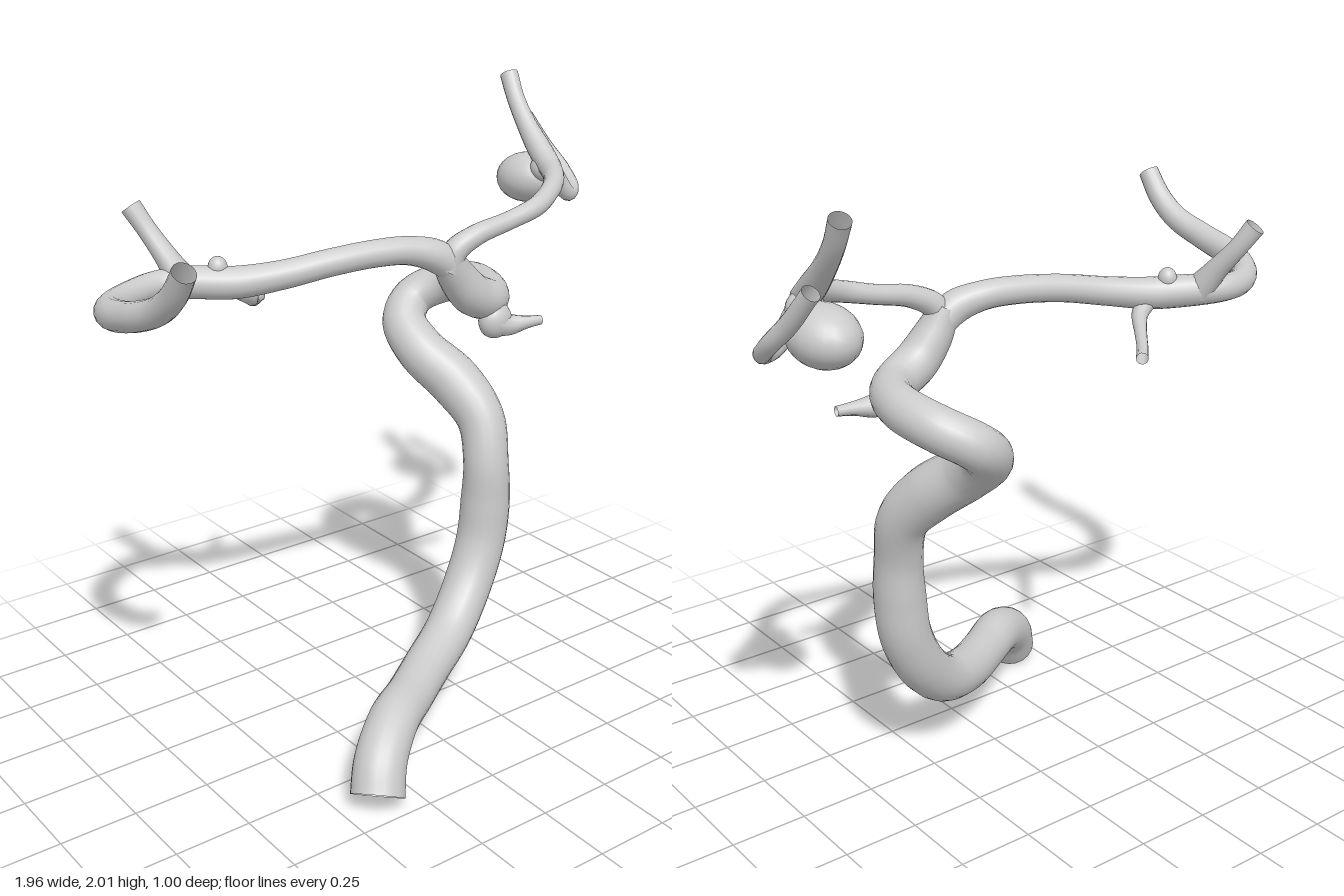
import * as THREE from 'three';

const material = new THREE.MeshStandardMaterial({ color: 0xcccccc, side: THREE.DoubleSide });

// Open tube through points [x, y, z, radius], the radius varying smoothly along the path
function vessel(name, points, segments, sides = 16) {
  const path = new THREE.CatmullRomCurve3(points.map(([x, y, z]) => new THREE.Vector3(x, y, z)));
  const radii = new THREE.SplineCurve(points.map((p, i) => new THREE.Vector2(i, p[3])));
  path.arcLengthDivisions = 400;
  const geometry = new THREE.TubeGeometry(path, segments, 1, sides);
  const pos = geometry.attributes.position;
  const normal = geometry.attributes.normal;
  for (let ring = 0; ring <= segments; ring++) {
    const u = ring / segments;
    const centre = path.getPointAt(u);
    const r = radii.getPoint(path.getUtoTmapping(u)).y;
    for (let j = 0; j <= sides; j++) {
      const k = ring * (sides + 1) + j;
      const v = new THREE.Vector3().fromBufferAttribute(normal, k).multiplyScalar(r).add(centre);
      pos.setXYZ(k, v.x, v.y, v.z);
    }
  }
  const mesh = new THREE.Mesh(geometry, material);
  mesh.name = name;
  return mesh;
}

// Ellipsoidal swelling
function swelling(name, centre, radii, tilt = 0) {
  const mesh = new THREE.Mesh(new THREE.SphereGeometry(1, 20, 14), material);
  mesh.name = name;
  mesh.position.set(...centre);
  mesh.scale.set(...radii);
  mesh.rotation.x = tilt;
  return mesh;
}

export function createModel() {
  const group = new THREE.Group();
  group.name = 'arteryTree';

  // Thick trunk: rises, loops backwards, then comes forward to the fork
  group.add(vessel('trunk', [
    [-0.4, 0.045, 0.43, 0.085], [-0.355, 0.13, 0.385, 0.083], [-0.25, 0.195, 0.31, 0.08],
    [-0.12, 0.2, 0.225, 0.077], [0.02, 0.215, 0.135, 0.078], [0.17, 0.265, 0.06, 0.08],
    [0.29, 0.38, 0.01, 0.082], [0.36, 0.52, -0.01, 0.083], [0.38, 0.66, -0.013, 0.083],
    [0.385, 0.8, -0.02, 0.076], [0.395, 0.94, -0.065, 0.08], [0.36, 1.05, -0.16, 0.088],
    [0.305, 1.14, -0.275, 0.082], [0.31, 1.215, -0.375, 0.075], [0.38, 1.28, -0.415, 0.069],
    [0.46, 1.33, -0.355, 0.068], [0.49, 1.355, -0.24, 0.067], [0.46, 1.36, -0.12, 0.064],
    [0.39, 1.365, -0.035, 0.066], [0.3, 1.405, -0.01, 0.068], [0.235, 1.48, -0.01, 0.06],
    [0.195, 1.55, -0.01, 0.046],
  ], 130, 20));

  // Short side twig on the last bend of the trunk
  group.add(swelling('twigRoot', [0.385, 1.305, 0.01], [0.06, 0.06, 0.045]));
  group.add(vessel('twig', [
    [0.38, 1.3, 0.01, 0.045], [0.43, 1.285, 0.025, 0.036],
    [0.49, 1.285, 0.04, 0.022], [0.545, 1.285, 0.05, 0.016],
  ], 14, 10));

  // Long branch to the right, curling forward and up at its end
  group.add(vessel('rightBranch', [
    [0.24, 1.48, -0.01, 0.045], [0.17, 1.545, -0.015, 0.052], [0.08, 1.575, -0.04, 0.045],
    [-0.03, 1.58, -0.065, 0.043], [-0.18, 1.568, -0.1, 0.043], [-0.32, 1.545, -0.145, 0.045],
    [-0.45, 1.53, -0.205, 0.05], [-0.56, 1.535, -0.27, 0.05], [-0.65, 1.535, -0.31, 0.043],
    [-0.76, 1.53, -0.28, 0.042], [-0.86, 1.535, -0.2, 0.043], [-0.92, 1.555, -0.08, 0.045],
    [-0.93, 1.585, 0.06, 0.043], [-0.915, 1.63, 0.18, 0.04], [-0.91, 1.69, 0.26, 0.037],
    [-0.91, 1.765, 0.32, 0.034],
  ], 90));
  group.add(vessel('rightUpperTwig', [
    [-0.58, 1.53, -0.28, 0.05], [-0.605, 1.6, -0.325, 0.036],
    [-0.635, 1.68, -0.385, 0.03], [-0.665, 1.75, -0.425, 0.032],
  ], 20, 12));
  group.add(vessel('rightLowerTwig', [
    [-0.45, 1.52, -0.2, 0.035], [-0.395, 1.475, -0.22, 0.026], [-0.35, 1.44, -0.275, 0.02],
    [-0.3, 1.415, -0.34, 0.018], [-0.25, 1.405, -0.395, 0.019],
  ], 24, 10));
  group.add(swelling('rightNub', [-0.49, 1.575, -0.235], [0.03, 0.036, 0.03]));

  // Thinner branch to the left, bending back and ending in the upper vessel
  group.add(vessel('leftBranch', [
    [0.2, 1.5, -0.01, 0.05], [0.225, 1.56, 0, 0.04], [0.3, 1.6, 0.01, 0.034],
    [0.42, 1.625, 0.015, 0.03], [0.54, 1.655, 0.015, 0.032], [0.63, 1.68, -0.025, 0.032],
    [0.71, 1.7, -0.09, 0.034], [0.77, 1.72, -0.18, 0.038], [0.785, 1.765, -0.25, 0.04],
    [0.795, 1.84, -0.335, 0.033], [0.805, 1.91, -0.4, 0.03], [0.815, 1.985, -0.45, 0.031],
  ], 75));

  // Balloon-like sac under the left fork
  group.add(swelling('sac', [0.795, 1.655, -0.315], [0.098, 0.085, 0.12], -0.1));
  group.add(swelling('sacNeck', [0.79, 1.705, -0.22], [0.055, 0.05, 0.05]));

  // Hook-shaped vessel around the outside of the sac
  group.add(vessel('leftHook', [
    [0.79, 1.71, -0.2, 0.035], [0.835, 1.65, -0.2, 0.032], [0.885, 1.605, -0.205, 0.026],
    [0.94, 1.615, -0.25, 0.025], [0.958, 1.665, -0.325, 0.026], [0.94, 1.735, -0.4, 0.027],
    [0.92, 1.825, -0.475, 0.026],
  ], 40, 12));

  return group;
}
